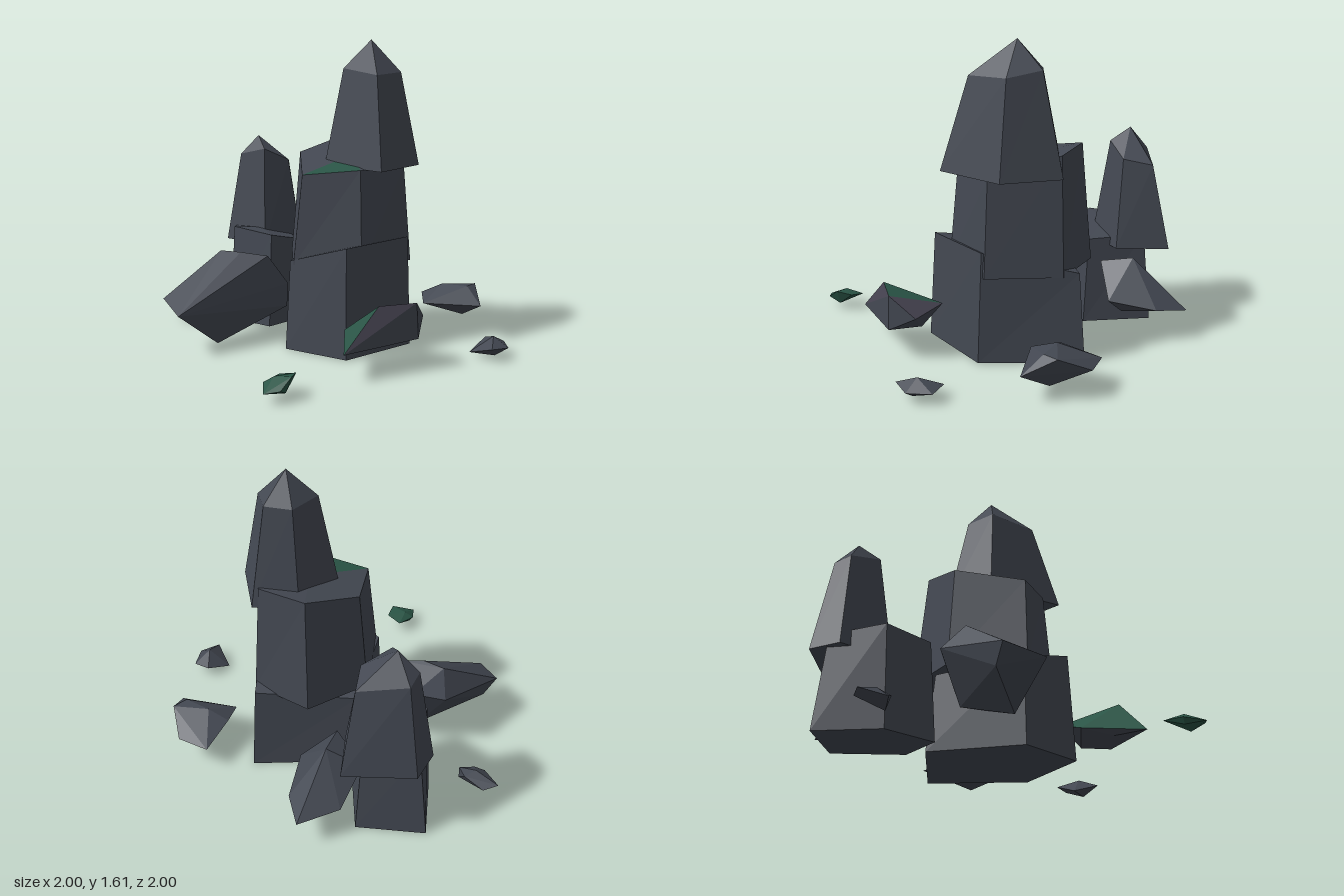
import * as THREE from 'three';
import { ConvexGeometry } from 'three/addons/geometries/ConvexGeometry.js';

const paint = (name, color) => {
  const m = new THREE.MeshStandardMaterial({ color });
  m.name = name;
  return m;
};

// Faceted rock column: rings run clockwise seen from above, points are [x, y, z]
function column(rings, peak, accentSide = -1) {
  const pos = [];
  const geo = new THREE.BufferGeometry();
  const tri = (...pts) => pts.forEach((p) => pos.push(...p));
  const n = rings[0].length;
  const base = [0, 1, 2].map((k) => rings[0].reduce((s, p) => s + p[k] / n, 0));
  for (let i = 0; i < n; i++) {
    const j = (i + 1) % n;
    tri(base, rings[0][i], rings[0][j]);
    for (let r = 0; r + 1 < rings.length; r++) {
      const lo = rings[r], hi = rings[r + 1];
      tri(lo[j], lo[i], hi[i]);
      tri(lo[j], hi[i], hi[j]);
    }
  }
  const top = rings[rings.length - 1];
  for (let i = 0; i < n; i++) {
    const start = pos.length / 3;
    tri(peak, top[(i + 1) % n], top[i]);
    if (i === accentSide) geo.addGroup(start, 3, 1);
  }
  const total = pos.length / 3;
  if (accentSide >= 0) {
    const g = geo.groups[0];
    geo.addGroup(0, g.start, 0);
    geo.addGroup(g.start + 3, total - g.start - 3, 0);
  }
  geo.setAttribute('position', new THREE.Float32BufferAttribute(pos, 3));
  geo.computeVertexNormals();
  return geo;
}

// Loose stone: convex hull, optionally with a material index chosen by face normal
function stone(points, pick) {
  const geo = new ConvexGeometry(points.map((p) => new THREE.Vector3(...p)));
  if (pick) {
    const nor = geo.getAttribute('normal');
    for (let i = 0; i < nor.count; i += 3) {
      geo.addGroup(i, 3, pick(nor.getX(i), nor.getY(i), nor.getZ(i)));
    }
  }
  return geo;
}

const level = (y, pts) => pts.map(([x, z]) => [x, y, z]);

export function createModel() {
  const slate = paint('slate', 0x434852);
  const moss = paint('moss green', 0x2a5546);
  const violet = paint('violet slate', 0x454250);
  const model = new THREE.Group();
  model.name = 'rockFormation';
  const add = (name, geo, mat = slate) => {
    const mesh = new THREE.Mesh(geo, mat);
    mesh.name = name;
    model.add(mesh);
  };

  // Tall pillar: base, middle with a mossy ledge, pointed cap
  add('tallPillarBase', column([
    level(0, [[-0.26, -0.32], [0.24, -0.61], [0.46, -0.12], [0.22, 0.27], [-0.14, 0.17]]),
    [[-0.22, 0.41, -0.3], [0.23, 0.47, -0.57], [0.44, 0.58, -0.13], [0.21, 0.57, 0.24], [-0.12, 0.47, 0.15]],
  ], [0.1, 0.5, -0.15]));
  add('tallPillarMiddle', column([
    level(0.45, [[-0.24, -0.22], [-0.06, -0.53], [0.27, -0.5], [0.45, -0.15], [0.26, 0.13], [-0.1, 0.16]]),
    [[-0.19, 1.0, -0.22], [-0.03, 1.07, -0.48], [0.24, 1.06, -0.47], [0.41, 0.95, -0.15],
      [0.24, 0.95, 0.09], [-0.06, 0.92, 0.13]],
  ], [0.12, 1.0, -0.17], 4), [slate, moss]);
  add('tallPillarCap', column([
    level(0.95, [[-0.01, -0.1], [0.05, -0.4], [0.27, -0.49], [0.47, -0.24], [0.36, 0.13]]),
    [[0.08, 1.46, -0.14], [0.12, 1.46, -0.32], [0.25, 1.47, -0.37], [0.37, 1.44, -0.23], [0.3, 1.43, 0]],
  ], [0.21, 1.61, -0.22]));

  // Short pillar: base and pointed cap
  add('shortPillarBase', column([
    level(0, [[-0.78, -0.62], [-0.45, -0.75], [-0.26, -0.43], [-0.37, -0.2], [-0.65, -0.3]]),
    [[-0.72, 0.5, -0.6], [-0.46, 0.48, -0.7], [-0.29, 0.47, -0.44], [-0.37, 0.52, -0.24], [-0.63, 0.54, -0.33]],
  ], [-0.51, 0.52, -0.46]));
  add('shortPillarCap', column([
    level(0.43, [[-0.75, -0.69], [-0.42, -0.85], [-0.31, -0.59], [-0.47, -0.4], [-0.75, -0.51]]),
    [[-0.67, 0.92, -0.64], [-0.44, 0.88, -0.74], [-0.39, 0.91, -0.59], [-0.5, 0.98, -0.48], [-0.67, 0.94, -0.54]],
  ], [-0.57, 1.05, -0.57]));

  // Leaning boulders
  add('frontBoulder', stone([
    [-0.75, 0.27, 0.36], [-0.6, 0.22, 0.5], [-0.43, 0.48, 0.07], [-0.55, 0.48, 0.06], [-0.29, 0.46, 0.03],
    [-0.2, 0.3, -0.04], [-0.2, 0.18, -0.02], [-0.46, 0.4, -0.12], [-0.61, 0.36, -0.04],
    [-0.48, 0.03, 0.28], [-0.7, 0.18, 0.3], [-0.45, 0.12, -0.02],
  ]));
  add('mossyBoulder', stone([
    [0.22, 0.17, 0.3], [0.39, 0.26, 0.11], [0.43, 0.34, 0.43], [0.31, 0.14, 0.62], [0.59, 0.34, 0.31],
    [0.59, 0.24, 0.16], [0.6, 0.16, 0.31], [0.3, 0.13, 0.45], [0.45, 0.14, 0.2],
  ], (x, y) => (y > 0.1 && x < -0.1 ? 1 : y > 0.3 ? 2 : 0)), [slate, moss, violet]);
  add('rightBoulder', stone([
    [0.43, 0.14, -0.76], [0.6, 0.15, -0.77], [0.72, 0.23, -0.64], [0.78, 0.14, -0.48], [0.47, 0.15, -0.41],
    [0.43, 0.18, -0.55], [0.54, 0.23, -0.57], [0.69, 0.23, -0.56], [0.66, 0.06, -0.58], [0.5, 0.09, -0.62],
  ]));
  add('backBoulder', stone([
    [-0.26, 0.16, -1], [-0.14, 0.18, -0.87], [-0.07, 0.22, -0.63], [-0.23, 0.38, -0.53], [-0.26, 0.41, -0.7],
    [-0.42, 0.3, -0.62], [-0.41, 0.18, -0.83], [-0.25, 0.1, -0.65],
  ]));

  // Scattered pebbles
  add('leftPebble', stone([
    [-1, 0.07, -0.21], [-0.94, 0.06, -0.27], [-0.83, 0.1, -0.26], [-0.78, 0.1, -0.21], [-0.84, 0.07, -0.14],
    [-0.89, 0.05, -0.12], [-0.87, 0.11, -0.2], [-0.78, 0.03, -0.21], [-0.9, 0.04, -0.2],
  ]));
  add('rightPebble', stone([
    [0.8, 0.02, 0], [0.86, 0.07, -0.13], [0.96, 0.06, -0.12], [1, 0.06, 0], [0.93, 0.07, 0.09],
    [0.92, 0.11, -0.02], [0.93, 0.015, 0],
  ]));
  add('mossyPebble', stone([
    [0.05, 0.08, 0.79], [0.14, 0.1, 0.81], [0.15, 0.11, 0.9], [0.12, 0.06, 0.97], [0.05, 0.05, 1],
    [0.01, 0.07, 0.9], [0.06, 0.1, 0.89], [0.12, 0.03, 0.9], [0.03, 0.04, 0.9],
  ]), moss);

  return model;
}
